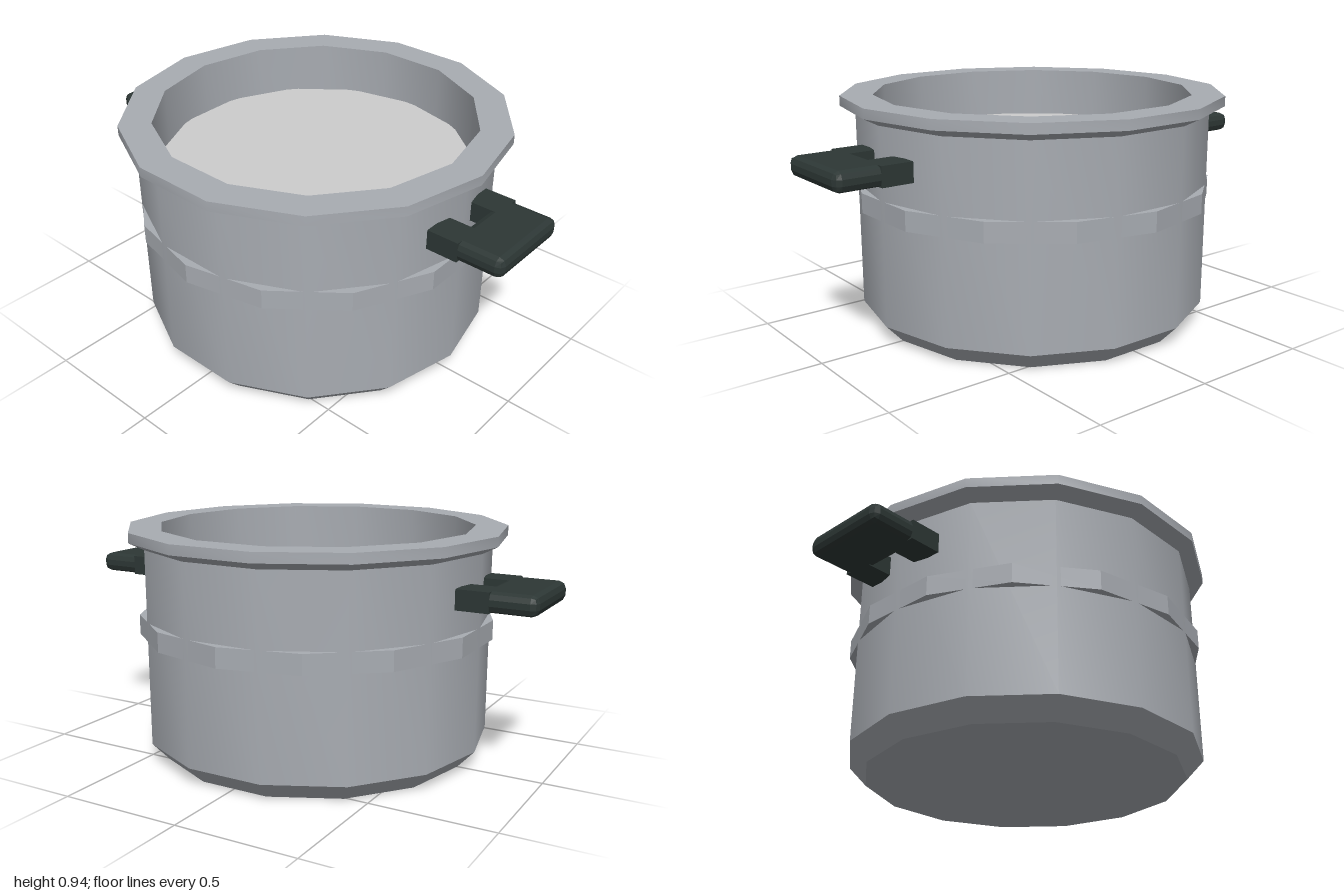
import * as THREE from 'three';
import { toCreasedNormals } from 'three/addons/utils/BufferGeometryUtils.js';
import { RoundedBoxGeometry } from 'three/addons/geometries/RoundedBoxGeometry.js';

const SIDES = 14;

function material(name, color) {
  const m = new THREE.MeshStandardMaterial({ color });
  m.name = name;
  return m;
}

function mesh(name, geometry, mat) {
  const m = new THREE.Mesh(geometry, mat);
  m.name = name;
  return m;
}

// Revolve [radius, height] pairs; corners sharper than the crease angle stay hard
function lathe(profile, crease) {
  const points = profile.map(([r, y]) => new THREE.Vector2(r, y));
  return toCreasedNormals(new THREE.LatheGeometry(points, SIDES), crease);
}

export function createModel() {
  const steel = material('steel', 0xa8acb2);
  const pale = material('pale filling', 0xcccccc);
  const dark = material('dark handle', 0x2d3735);
  const model = new THREE.Group();
  model.name = 'cookingPot';

  // Hollow pot with chamfered base and flared rim, corners on the x axis
  const body = mesh('potBody', lathe([
    [0, 0], [0.65, 0], [0.72, 0.075], [0.72, 0.87], [0.78, 0.9],
    [0.78, 0.94], [0.65, 0.94], [0.65, 0.1], [0, 0.1],
  ], 0.5), steel);
  body.rotation.y = Math.PI / 2;
  model.add(body);

  // Faceted band, corners on the z axis so they poke out of the wall
  model.add(mesh('band', lathe([
    [0.68, 0.5], [0.735, 0.5], [0.735, 0.58], [0.68, 0.58],
  ], 0.1), steel));

  // Surface of the contents
  const filling = mesh('filling', new THREE.CircleGeometry(0.64, SIDES, Math.PI / 2), pale);
  filling.rotation.x = -Math.PI / 2;
  filling.position.y = 0.735;
  model.add(filling);

  // Two handles: a chamfered grip on a pair of square brackets
  for (const side of [1, -1]) {
    const handle = new THREE.Group();
    handle.name = side > 0 ? 'leftHandle' : 'rightHandle';

    const gripShape = new RoundedBoxGeometry(0.22, 0.08, 0.38, 1, 0.028);
    gripShape.computeVertexNormals();
    const grip = mesh('grip', gripShape, dark);
    grip.position.set(0.89, 0.725, 0);
    handle.add(grip);

    for (const end of [1, -1]) {
      const bracket = mesh('bracket', new THREE.BoxGeometry(0.13, 0.08, 0.12), dark);
      bracket.position.set(0.755, 0.725, end * 0.13);
      handle.add(bracket);
    }
    handle.rotation.y = side > 0 ? 0 : Math.PI;
    model.add(handle);
  }
  return model;
}
